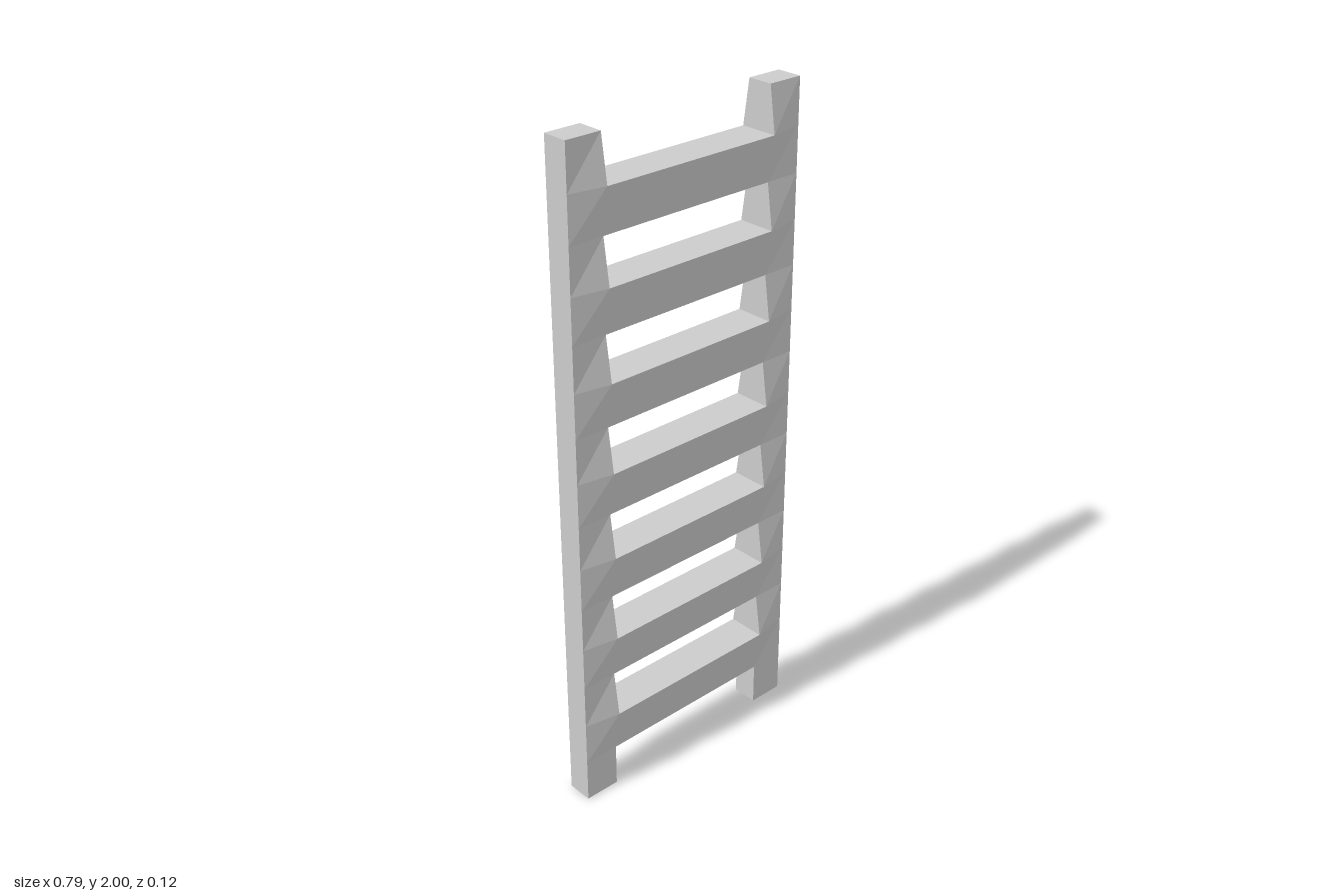
import * as THREE from 'three';

const HEIGHT = 2, STEPS = 15, STEP = HEIGHT / STEPS;
const OUTER_X = 0.397, INNER_X = 0.287;
const THIN = 0.039, THICK = 0.0585; // half depths

// Set each vertex's depth from a rule that returns the half depth at (x, y)
function shapeDepth(geometry, halfDepth) {
  const p = geometry.attributes.position;
  for (let i = 0; i < p.count; i++) {
    p.setZ(i, Math.sign(p.getZ(i)) * halfDepth(p.getX(i), p.getY(i)));
  }
  geometry.computeVertexNormals();
  return geometry;
}

export function createModel() {
  const group = new THREE.Group();
  const material = new THREE.MeshStandardMaterial({ color: 0xcccccc, flatShading: true });

  const add = (name, geometry) => {
    const mesh = new THREE.Mesh(geometry, material);
    mesh.name = name;
    group.add(mesh);
  };

  // Side rails: the inner edge swells at the top of every rung
  for (const side of [1, -1]) {
    const rail = new THREE.BoxGeometry(OUTER_X - INNER_X, HEIGHT, 1, 1, STEPS, 1);
    rail.translate(side * (OUTER_X + INNER_X) / 2, HEIGHT / 2, 0);
    shapeDepth(rail, (x, y) => {
      const level = Math.round(y / STEP);
      const inner = Math.abs(x) < (OUTER_X + INNER_X) / 2;
      return inner && level > 0 && level % 2 === 0 ? THICK : THIN;
    });
    add(side > 0 ? 'leftRail' : 'rightRail', rail);
  }

  // Rungs: narrow at the bottom, wide at the top
  for (let i = 0; i < 7; i++) {
    const middle = (2 * i + 1.5) * STEP;
    const rung = new THREE.BoxGeometry(2 * INNER_X, STEP, 1);
    rung.translate(0, middle, 0);
    shapeDepth(rung, (x, y) => (y > middle ? THICK : THIN));
    add(`rung${i + 1}`, rung);
  }

  return group;
}
